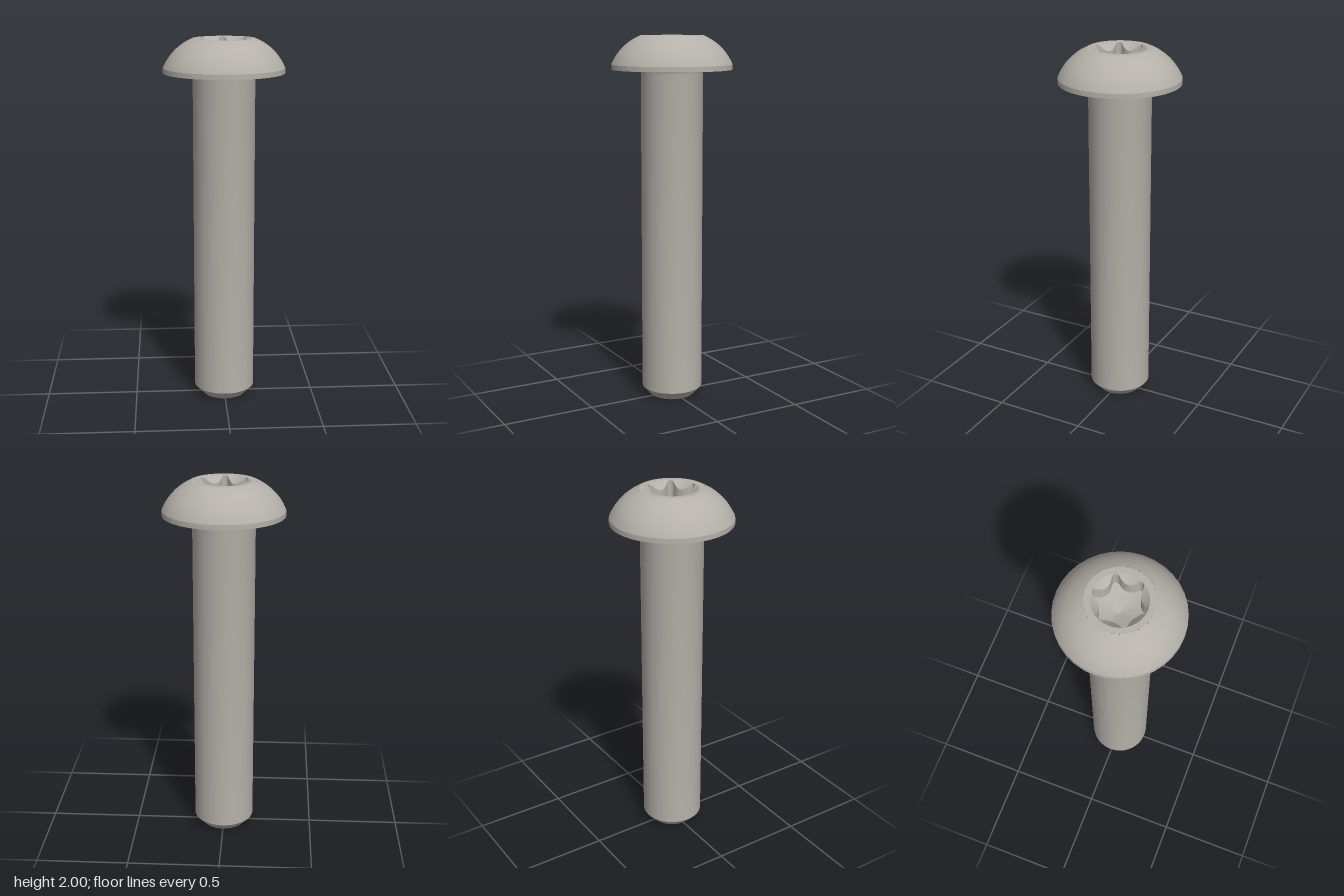
import * as THREE from 'three';
import { toCreasedNormals } from 'three/addons/utils/BufferGeometryUtils.js';

const SEG = 36;
const CREASE = 0.33;

function lathe(points) {
  const profile = points.map(([r, y]) => new THREE.Vector2(r, y));
  return toCreasedNormals(new THREE.LatheGeometry(profile, SEG), CREASE);
}

// points of a circular arc, angles in degrees
function arc(cx, cy, r, from, to, n) {
  return Array.from({ length: n + 1 }, (_, i) => {
    const a = THREE.MathUtils.degToRad(from + ((to - from) * i) / n);
    return [cx + r * Math.cos(a), cy + r * Math.sin(a)];
  });
}

// six-lobed outline from tangent arcs: small round tips, wide hollow valleys
function lobeOutline() {
  const tipR = 0.02, tipC = 0.117, valleyR = 0.071, valleyC = 0.171;
  const c30 = Math.cos(Math.PI / 6);
  const vx = valleyC * c30, vz = valleyC * 0.5;
  const phi = THREE.MathUtils.radToDeg(Math.atan2(vz, vx - tipC));
  const sector = [
    ...arc(tipC, 0, tipR, -phi, phi, 10),
    ...arc(vx, vz, valleyR, 180 + phi, 240 - phi, 8).slice(1, -1),
  ];
  const out = [];
  for (let k = 0; k < 6; k++) {
    const a = Math.PI / 2 + (k * Math.PI) / 3;
    for (const [x, z] of sector) {
      out.push([x * Math.cos(a) - z * Math.sin(a), x * Math.sin(a) + z * Math.cos(a)]);
    }
  }
  return out;
}

// surface through closed rings, listed from the outer rim inwards
function loft(rings) {
  const n = rings[0].length;
  const index = [];
  for (let r = 0; r < rings.length - 1; r++) {
    for (let i = 0; i < n; i++) {
      const j = (i + 1) % n;
      const a = r * n + i, b = r * n + j, c = a + n, d = b + n;
      index.push(a, c, b, b, c, d);
    }
  }
  const g = new THREE.BufferGeometry();
  g.setAttribute('position', new THREE.Float32BufferAttribute(rings.flat(2), 3));
  g.setIndex(index);
  return toCreasedNormals(g, CREASE);
}

export function createModel() {
  const group = new THREE.Group();
  const steel = new THREE.MeshStandardMaterial({ color: 0xb5b1aa });
  steel.name = 'steel grey';
  const add = (name, geometry) => {
    const mesh = new THREE.Mesh(geometry, steel);
    mesh.name = name;
    group.add(mesh);
  };

  // shank with chamfered end and a small fillet under the head
  add('shank', lathe([
    [0, 0], [0.12, 0], [0.167, 0.05],
    ...arc(0.187, 1.802, 0.02, 180, 90, 6),
  ]));

  // domed head: flat underside, short rim, arc up to the flat top
  const bulge = new THREE.QuadraticBezierCurve(
    new THREE.Vector2(0.325, 1.847),
    new THREE.Vector2(0.279, 1.952),
    new THREE.Vector2(0.17, 2),
  );
  add('head', lathe([
    [0.185, 1.82], [0.325, 1.82],
    ...bulge.getPoints(10).map((p) => [p.x, p.y]),
  ]));

  // flat top ring, countersink, lobed socket walls and conical floor
  const outline = lobeOutline();
  const step = (2 * Math.PI) / SEG;
  const ring = (fn) => outline.map(([x, z]) => fn(x, z, Math.hypot(x, z), Math.atan2(z, x)));
  const rim = ring((x, z, r, a) => {
    // follow the straight edges of the head's top polygon
    const off = a - (Math.floor(a / step) + 0.5) * step;
    const s = (0.17 * Math.cos(step / 2)) / Math.cos(off) / r;
    return [x * s, 2, z * s];
  });
  const mouth = ring((x, z, r) => [(x * 0.138) / r, 2, (z * 0.138) / r]);
  const lip = ring((x, z, r) => [x, 2 - (0.138 - r), z]);
  const base = ring((x, z, r) => [x, 1.85 + r * 0.35, z]);
  const centre = ring(() => [0, 1.85, 0]);
  add('topRing', loft([rim, mouth]));
  add('countersink', loft([mouth, lip]));
  add('socketWall', loft([lip, base]));
  add('socketFloor', loft([base, centre]));

  return group;
}
